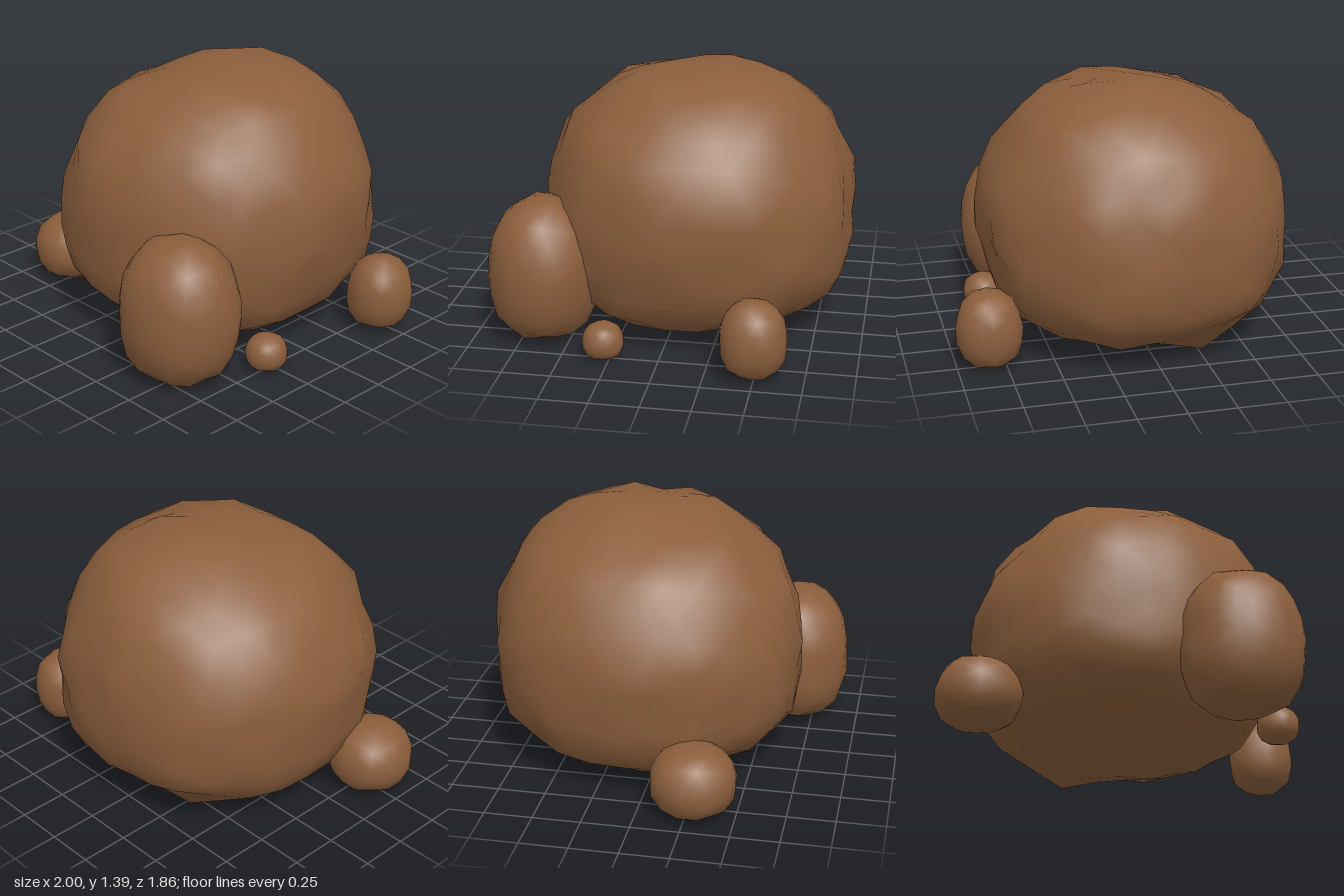
import * as THREE from 'three';
import { mergeVertices } from 'three/addons/utils/BufferGeometryUtils.js';

const material = new THREE.MeshStandardMaterial({ color: 0x8b5e3c });

// Small seeded generator for the vertex roughness
function seeded(seed) {
  let s = seed * 7919;
  return () => (s = (s * 16807) % 2147483647) / 2147483647;
}

// Lumpy stone: domed above its centre, fuller and blunter below, with broad
// lumps (or dents) given as [direction, amount] and fine roughness on top
function stone(name, { centre, radii, bottom, detail, rough, seed, lumps = [] }) {
  let geometry = new THREE.IcosahedronGeometry(1, detail);
  geometry.deleteAttribute('normal');
  geometry.deleteAttribute('uv');
  geometry = mergeVertices(geometry, 1e-4);

  const random = seeded(seed);
  const bumps = lumps.map(([dir, amount]) => [new THREE.Vector3(...dir).normalize(), amount]);
  const pos = geometry.attributes.position;
  const v = new THREE.Vector3();
  for (let i = 0; i < pos.count; i++) {
    v.fromBufferAttribute(pos, i).normalize();
    let swell = 1 + rough * (random() * 2 - 1);
    for (const [dir, amount] of bumps) swell += amount * Math.exp(-8 * (1 - v.dot(dir)));

    // Rounded plan, with a squarer profile in the lower half
    const power = v.y > 0 ? 2.2 : 3;
    const plan = (Math.abs(v.x) ** 2.1 + Math.abs(v.z) ** 2.1) ** (1 / 2.1);
    v.multiplyScalar(swell * (plan ** power + Math.abs(v.y) ** power) ** (-1 / power));
    const height = v.y > 0 ? radii[1] : centre[1] - bottom;
    const y = Math.max(centre[1] + v.y * height, bottom - 0.01);
    pos.setXYZ(i, centre[0] + v.x * radii[0], y, centre[2] + v.z * radii[2]);
  }
  geometry.computeVertexNormals();
  const mesh = new THREE.Mesh(geometry, material);
  mesh.name = name;
  return mesh;
}

// Pulls the underside down to a blunt foot around one ground point
function addFoot(mesh, x, z, radius) {
  const pos = mesh.geometry.attributes.position;
  for (let i = 0; i < pos.count; i++) {
    const d = Math.hypot(pos.getX(i) - x, pos.getZ(i) - z);
    if (pos.getY(i) < 0.15 && d < radius) pos.setY(i, pos.getY(i) * (d / radius) ** 2);
  }
  mesh.geometry.computeVertexNormals();
}

export function createModel() {
  const group = new THREE.Group();
  group.name = 'boulderCluster';

  // Main boulder
  const main = stone('mainBoulder', {
    centre: [0.01, 0.62, -0.09], radii: [0.82, 0.78, 0.83], bottom: 0.03,
    detail: 5, rough: 0.027, seed: 11,
    lumps: [
      [[0.1, 0.75, -0.42], 0.04], // high back of the crown
      [[0.4, 0, 0.75], -0.04],    // hollow behind the front boulder
      [[0.75, -0.35, 0], -0.05],  // undercut on the left flank
      [[-0.5, 0.6, 0.2], -0.02],  // worn right shoulder
    ],
  });
  addFoot(main, -0.24, -0.49, 0.16);
  group.add(main);

  // Smaller stones leaning around its foot
  group.add(
    stone('frontBoulder', {
      centre: [0.49, 0.4, 0.645], radii: [0.315, 0.38, 0.285], bottom: 0.03,
      detail: 3, rough: 0.025, seed: 23,
    }),
    stone('rightStone', {
      centre: [-0.78, 0.2, 0.28], radii: [0.22, 0.19, 0.22], bottom: 0.03,
      detail: 2, rough: 0.025, seed: 37,
    }),
    stone('leftStone', {
      centre: [0.83, 0.225, -0.49], radii: [0.17, 0.205, 0.17], bottom: 0.03,
      detail: 2, rough: 0.025, seed: 41,
    }),
    stone('pebble', {
      centre: [0.745, 0.115, 0.285], radii: [0.107, 0.097, 0.107], bottom: 0.025,
      detail: 2, rough: 0.025, seed: 53,
    }),
  );
  return group;
}
